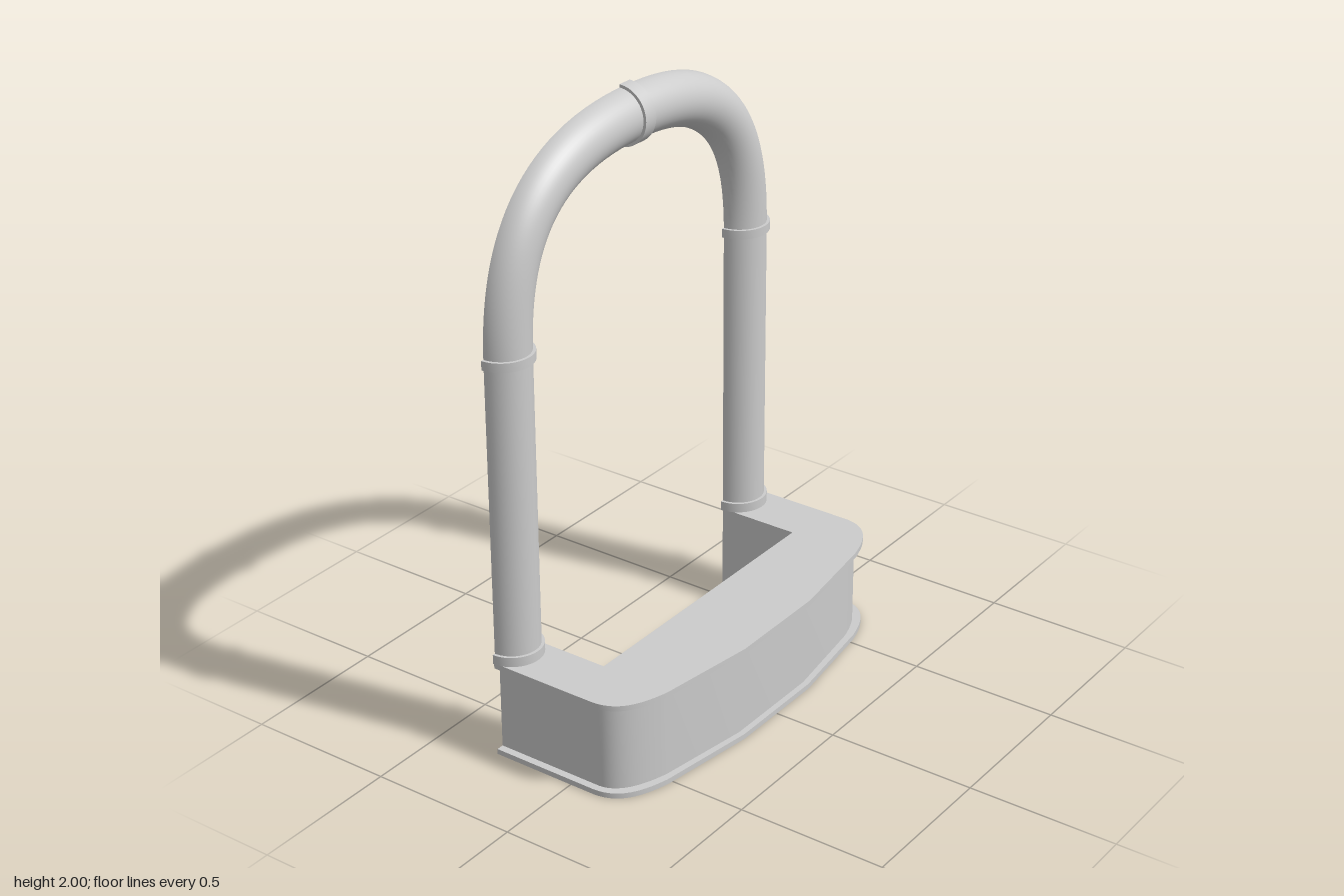
import * as THREE from 'three';
import { toCreasedNormals } from 'three/addons/utils/BufferGeometryUtils.js';

const BACK = -0.2875; // flat rear plane
const COLUMN_X = 0.602;
const PIPE_R = 0.088;

const material = new THREE.MeshStandardMaterial({ color: 0xcccccc, side: THREE.DoubleSide });

function addMesh(parent, name, geometry, x = 0, y = 0, z = 0) {
  const mesh = new THREE.Mesh(geometry, material);
  mesh.name = name;
  mesh.position.set(x, y, z);
  parent.add(mesh);
  return mesh;
}

// Extrudes a plan (shape y = -z) upwards with smooth curves and sharp edges
function extrudeUp(shape, height) {
  const g = new THREE.ExtrudeGeometry(shape, { depth: height, bevelEnabled: false, curveSegments: 14 });
  return toCreasedNormals(g.rotateX(-Math.PI / 2), 0.5);
}

// Plan of the base: bowed front, rounded front corners, optional recess open to the rear
function basePlan(inset, recess) {
  const w = 0.695 - inset;
  const d = inset * 0.8;
  const s = new THREE.Shape();
  s.moveTo(-w, -BACK);
  s.lineTo(-w, -0.09);
  s.bezierCurveTo(-w + 0.005, -0.18 + d, -0.62 + inset, -0.215 + d, -0.52 + d, -0.24 + d);
  s.lineTo(-0.18, BACK + d);
  s.lineTo(0.18, BACK + d);
  s.lineTo(0.52 - d, -0.24 + d);
  s.bezierCurveTo(0.62 - inset, -0.215 + d, w - 0.005, -0.18 + d, w, -0.09);
  s.lineTo(w, -BACK);
  if (recess) {
    s.lineTo(0.514, -BACK);
    s.lineTo(0.514, 0.005);
    s.lineTo(-0.514, 0.005);
    s.lineTo(-0.514, -BACK);
  }
  s.closePath();
  return s;
}

// Half ring that clasps the front of a half pipe
function collarGeometry(height) {
  const s = new THREE.Shape();
  s.absarc(0, 0, 0.098, Math.PI, Math.PI * 2, false);
  s.absarc(0, 0, PIPE_R, Math.PI * 2, Math.PI, true);
  s.closePath();
  return extrudeUp(s, height);
}

// Half pipe swept along a path lying in the rear plane
function halfPipeGeometry(curve, steps, sides) {
  const pos = [], normals = [], index = [];
  for (let i = 0; i <= steps; i++) {
    const p = curve.getPoint(i / steps);
    const t = curve.getTangent(i / steps);
    for (let j = 0; j <= sides; j++) {
      const a = (Math.PI * j) / sides;
      const nx = -t.y * Math.cos(a), ny = t.x * Math.cos(a), nz = Math.sin(a);
      pos.push(p.x + nx * PIPE_R, p.y + ny * PIPE_R, nz * PIPE_R);
      normals.push(nx, ny, nz);
      if (i < steps && j < sides) {
        const k = i * (sides + 1) + j;
        const n = k + sides + 1;
        index.push(k, n, k + 1, n, n + 1, k + 1);
      }
    }
  }
  const g = new THREE.BufferGeometry();
  g.setAttribute('position', new THREE.Float32BufferAttribute(pos, 3));
  g.setAttribute('normal', new THREE.Float32BufferAttribute(normals, 3));
  g.setIndex(index);
  return g;
}

export function createModel() {
  const model = new THREE.Group();
  model.name = 'archedStand';

  // Base: floor plate, recessed body and overhanging top plate
  const base = new THREE.Group();
  base.name = 'base';
  model.add(base);
  addMesh(base, 'floorPlate', extrudeUp(basePlan(0, false), 0.018));
  addMesh(base, 'body', extrudeUp(basePlan(0.025, true), 0.294), 0, 0.018);
  addMesh(base, 'topPlate', extrudeUp(basePlan(0, true), 0.018), 0, 0.312);

  // Columns with a collar at each end
  for (const [side, sign] of [['left', 1], ['right', -1]]) {
    const x = sign * COLUMN_X;
    const column = new THREE.CylinderGeometry(PIPE_R, PIPE_R, 1.01, 24, 1, true, -Math.PI / 2, Math.PI);
    addMesh(model, side + 'Column', column, x, 0.835, BACK);
    addMesh(model, side + 'LowerCollar', collarGeometry(0.032), x, 0.33, BACK);
    addMesh(model, side + 'UpperCollar', collarGeometry(0.03), x, 1.325, BACK);
  }

  // Arch: two mirrored bends meeting at the crown
  const bend = (sign) => new THREE.CubicBezierCurve3(
    new THREE.Vector3(sign * COLUMN_X, 1.34, 0),
    new THREE.Vector3(sign * COLUMN_X, 1.68, 0),
    new THREE.Vector3(sign * 0.47, 1.902, 0),
    new THREE.Vector3(0, 1.902, 0)
  );
  const rising = bend(-1);
  const b = bend(1);
  const falling = new THREE.CubicBezierCurve3(b.v3, b.v2, b.v1, b.v0);
  addMesh(model, 'rightArch', halfPipeGeometry(rising, 28, 24), 0, 0, BACK);
  addMesh(model, 'leftArch', halfPipeGeometry(falling, 28, 24), 0, 0, BACK);

  // Crown collar
  const crown = collarGeometry(0.05).translate(0, -0.025, 0).rotateZ(Math.PI / 2);
  addMesh(model, 'crownCollar', crown, 0, 1.902, BACK);

  return model;
}
